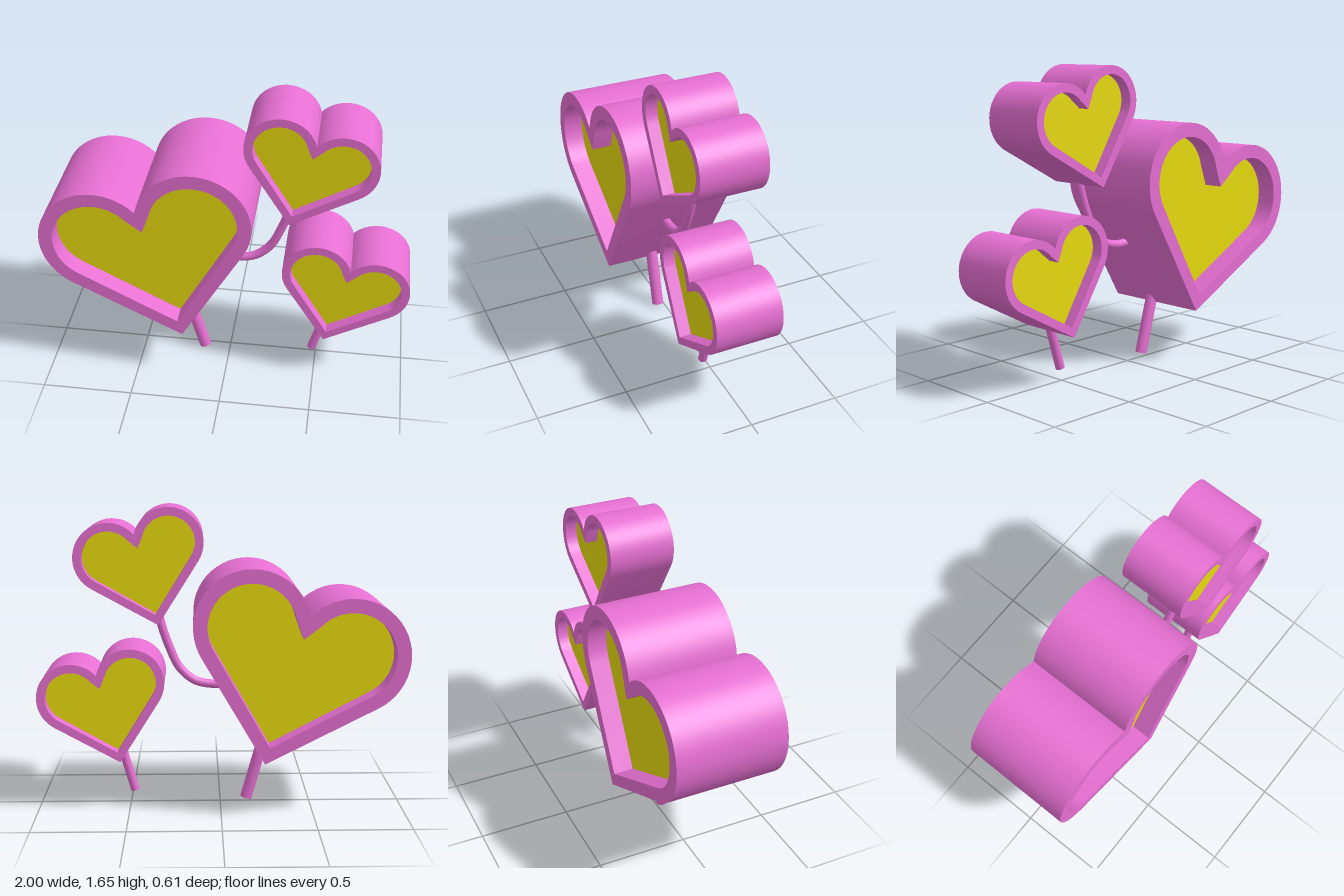
import * as THREE from 'three';
import { toCreasedNormals } from 'three/addons/utils/BufferGeometryUtils.js';

const pink = new THREE.MeshStandardMaterial({ color: 0xe66fd2 });
const yellow = new THREE.MeshStandardMaterial({ color: 0xe6da0e });

const LOBE = { x: 0.275, y: 0.685 }; // centre of the right lobe, tip at the origin
const DEPTH = 0.61;
const RECESS = 0.11;

// Heart outline: two lobes of radius r, tangent sides to the tip, lines into the cleft
function heartPoints(r, tipY, cleftY) {
  const dy = LOBE.y - tipY;
  const halfTip = Math.atan2(LOBE.x, dy) + Math.asin(r / Math.hypot(LOBE.x, dy));
  const start = -halfTip, end = THREE.MathUtils.degToRad(152);
  const right = [];
  const n = 28;
  for (let i = 0; i <= n; i++) {
    const a = start + (end - start) * i / n;
    right.push(new THREE.Vector2(LOBE.x + r * Math.cos(a), LOBE.y + r * Math.sin(a)));
  }
  const left = right.map(p => new THREE.Vector2(-p.x, p.y)).reverse();
  return [new THREE.Vector2(0, tipY), ...right, new THREE.Vector2(0, cleftY), ...left];
}

function extrude(shape, depth) {
  const geo = new THREE.ExtrudeGeometry(shape, { depth, bevelEnabled: false });
  geo.translate(0, 0, -depth / 2);
  return toCreasedNormals(geo, 0.5);
}

function mesh(name, geo, mat) {
  const m = new THREE.Mesh(geo, mat);
  m.name = name;
  return m;
}

// Deep rim with a recessed panel on both faces
function makeHeart(name, x, y, z, scale, tiltDegrees) {
  const inner = heartPoints(0.235, 0.093, 0.704);
  const rim = new THREE.Shape(heartPoints(0.31, 0, 0.83));
  rim.holes.push(new THREE.Path(inner));
  const heart = new THREE.Group();
  heart.name = name;
  heart.add(
    mesh(name + 'Rim', extrude(rim, DEPTH), pink),
    mesh(name + 'Panel', extrude(new THREE.Shape(inner), DEPTH - 2 * RECESS), yellow)
  );
  heart.position.set(x, y, z);
  heart.rotation.z = THREE.MathUtils.degToRad(tiltDegrees);
  heart.scale.setScalar(scale);
  return heart;
}

// Straight round stem between two points
function makeStem(name, from, to, radius) {
  const dir = to.clone().sub(from);
  const m = mesh(name, new THREE.CylinderGeometry(radius, radius, dir.length(), 20), pink);
  m.position.copy(from).addScaledVector(dir, 0.5);
  m.quaternion.setFromUnitVectors(new THREE.Vector3(0, 1, 0), dir.normalize());
  return m;
}

export function createModel() {
  const model = new THREE.Group();
  model.name = 'heartCluster';
  const v = (x, y) => new THREE.Vector3(x, y, 0.035);

  // Hearts
  model.add(
    makeHeart('largeHeart', -0.233, 0.3, 0, 1, 16.4),
    makeHeart('upperSmallHeart', 0.333, 1.03, 0.03, 0.6, -14.5),
    makeHeart('lowerSmallHeart', 0.547, 0.273, 0.03, 0.6, -14.5)
  );

  // Stems
  model.add(
    makeStem('largeStem', v(-0.147, 0.01), v(-0.241, 0.345), 0.033),
    makeStem('smallStem', v(0.478, 0.058), v(0.551, 0.31), 0.025)
  );

  // Curved branch from the large heart to the upper small heart
  const branch = new THREE.CatmullRomCurve3([
    v(-0.03, 0.672), v(0.04, 0.668), v(0.14, 0.69), v(0.225, 0.765),
    v(0.28, 0.88), v(0.315, 0.98), v(0.337, 1.06)
  ]);
  model.add(mesh('curvedBranch', new THREE.TubeGeometry(branch, 40, 0.024, 16), pink));

  return model;
}
